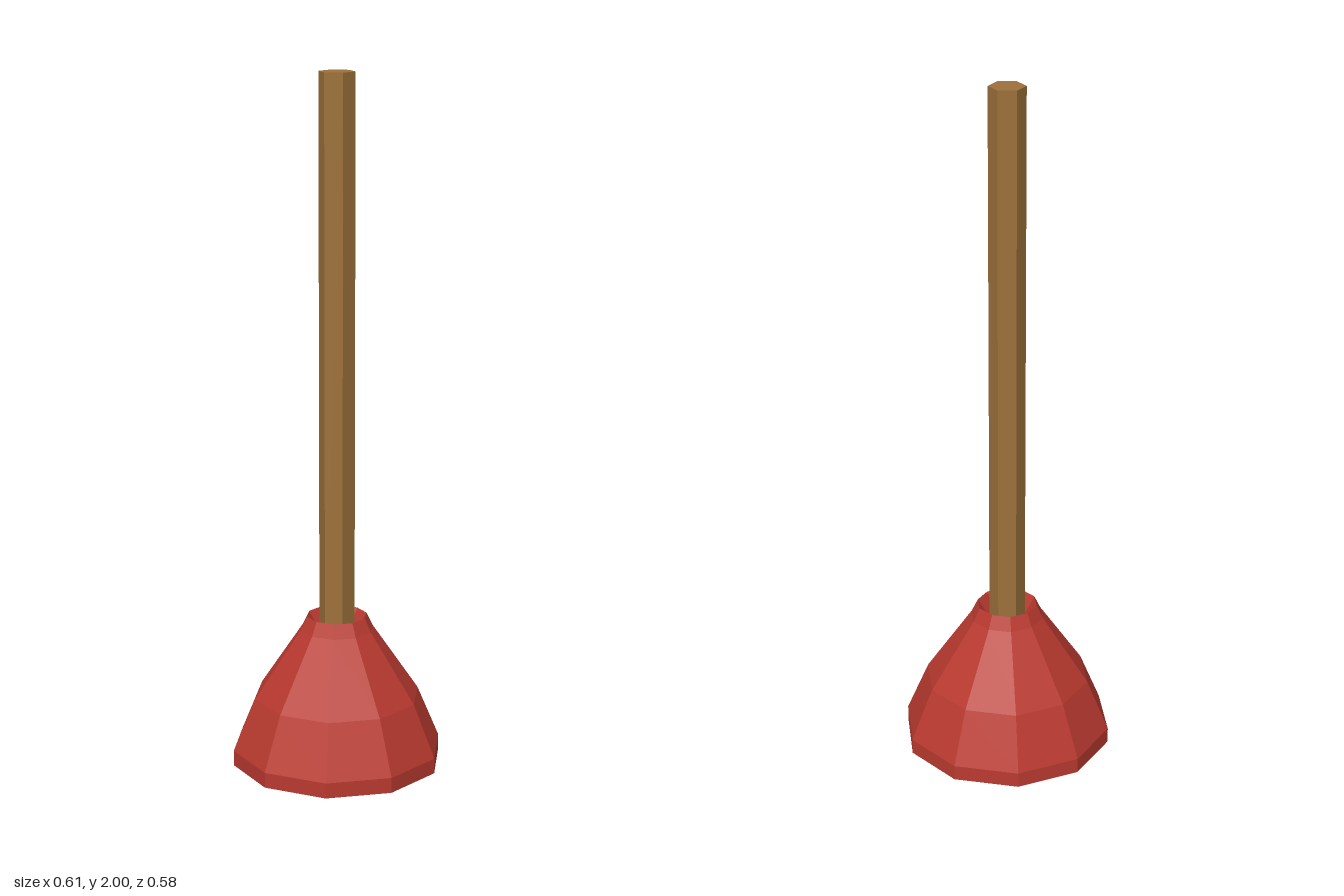
import * as THREE from 'three';

export function createModel() {
  const group = new THREE.Group();
  const rubber = new THREE.MeshStandardMaterial({ name: 'red rubber', color: 0xba3a30, flatShading: true });
  const wood = new THREE.MeshStandardMaterial({ name: 'wood', color: 0x9d713b, flatShading: true });

  // Hollow ten-sided cup: up the outside, over the lip, down the funnel and inner cone, back along the rim
  const profile = [
    [0.307, 0], [0.307, 0.045], [0.242, 0.2], [0.107, 0.4], [0.088, 0.44],
    [0.051, 0.38], [0.25, 0], [0.307, 0],
  ].map(([r, y]) => new THREE.Vector2(r, y));
  const cup = new THREE.Mesh(new THREE.LatheGeometry(profile, 10, Math.PI / 2), rubber);
  cup.name = 'rubberCup';
  group.add(cup);

  // Hexagonal handle standing in the collar
  const bottom = 0.34, top = 2;
  const handle = new THREE.Mesh(new THREE.CylinderGeometry(0.052, 0.052, top - bottom, 6), wood);
  handle.name = 'handle';
  handle.rotation.y = Math.PI / 2;
  handle.position.y = (top + bottom) / 2;
  group.add(handle);

  return group;
}
